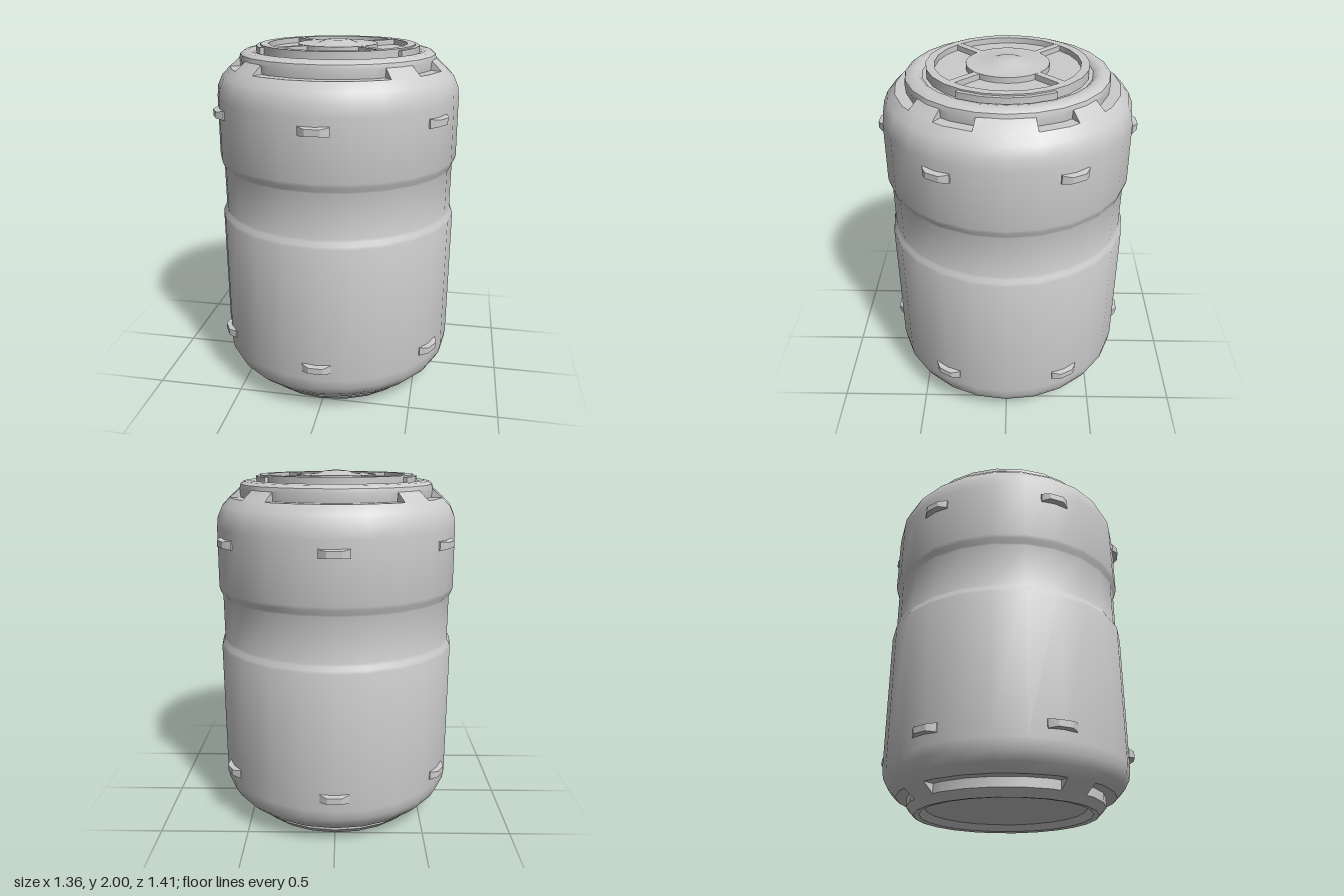
import * as THREE from 'three';
import { toCreasedNormals } from 'three/addons/utils/BufferGeometryUtils.js';

const SIDES = 24, STEP = 360 / SIDES;
const rad = THREE.MathUtils.degToRad;
const material = new THREE.MeshStandardMaterial({ color: 0xcccccc });

// Point on a 24-sided ring; the angle is in degrees, measured from +z towards +x
function ringPoint([r, y], deg) {
  const off = deg - (Math.floor(deg / STEP + 1e-6) + 0.5) * STEP;
  const k = r * Math.cos(rad(STEP / 2)) / Math.cos(rad(off));
  return [k * Math.sin(rad(deg)), y, k * Math.cos(rad(deg))];
}

function triangle(out, a, b, c) {
  out.push(...a, ...b, ...c);
}

// Sweeps a [radius, height] profile between two angles, keeping the ring's corners
function band(out, profile, from = 0, to = 360) {
  const angles = [from];
  for (let d = (Math.floor(from / STEP + 1e-6) + 1) * STEP; d < to - 1e-6; d += STEP) angles.push(d);
  angles.push(to);
  for (let i = 0; i < angles.length - 1; i++) {
    for (let j = 0; j < profile.length - 1; j++) {
      const a = ringPoint(profile[j], angles[i]), b = ringPoint(profile[j], angles[i + 1]);
      const c = ringPoint(profile[j + 1], angles[i + 1]), d = ringPoint(profile[j + 1], angles[i]);
      if (profile[j][0] > 0) triangle(out, a, b, c);
      if (profile[j + 1][0] > 0) triangle(out, a, c, d);
    }
  }
}

// Sloped band from a to b with slots cut into it, each with corner m
function slottedBand(out, a, m, b, slots) {
  let last = slots[0][0];
  slots.forEach(([from, to], i) => {
    if (from > last) band(out, [a, b], last, from);
    band(out, [a, m, b], from, to);
    triangle(out, ...[a, m, b].map(p => ringPoint(p, from)));
    triangle(out, ...[a, b, m].map(p => ringPoint(p, to)));
    last = to;
    if (i === slots.length - 1) band(out, [a, b], last, slots[0][0] + 360);
  });
}

function toMesh(name, positions) {
  const geometry = new THREE.BufferGeometry();
  geometry.setAttribute('position', new THREE.Float32BufferAttribute(positions, 3));
  const mesh = new THREE.Mesh(toCreasedNormals(geometry, 0.6), material);
  mesh.name = name;
  return mesh;
}

function makeBody() {
  const out = [];
  // Recessed underside and foot rim
  band(out, [[0, 0.04], [0.44, 0.04], [0.47, 0.005], [0.5, 0], [0.54, 0.04]]);
  // Four long slots near the base
  slottedBand(out, [0.54, 0.04], [0.54, 0.09], [0.6, 0.09],
    [0, 90, 180, 270].map(d => [d - 36, d + 36]));
  // Wall with a shallow waist
  band(out, [[0.6, 0.09], [0.645, 0.135], [0.672, 0.185], [0.68, 0.24], [0.68, 1.02], [0.675, 1.035],
    [0.665, 1.055], [0.66, 1.07], [0.66, 1.315], [0.663, 1.325], [0.675, 1.35], [0.68, 1.37],
    [0.677, 1.7], [0.67, 1.76], [0.645, 1.815], [0.6, 1.86]]);
  // Upper slots: long at front and back, bridged in the middle at the sides
  slottedBand(out, [0.6, 1.86], [0.54, 1.86], [0.545, 1.908],
    [[-36, 36], [54, 75], [105, 126], [144, 216], [234, 255], [285, 306]]);
  // Shoulder rim
  band(out, [[0.545, 1.908], [0.54, 1.93], [0.52, 1.945], [0.49, 1.95], [0.465, 1.945],
    [0.45, 1.93], [0.35, 1.93]]);
  return toMesh('body', out);
}

function makeLid() {
  const lid = new THREE.Group();
  lid.name = 'lid';
  const plate = [];
  band(plate, [[0.43, 1.92], [0.43, 1.98], [0.385, 1.98], [0.385, 1.95], [0.22, 1.95],
    [0.22, 1.98], [0.11, 1.982], [0.06, 2], [0, 2]]);
  lid.add(toMesh('lidPlate', plate));

  // Raised locking edges at the left and right
  for (const mid of [90, 270]) {
    const out = [], from = mid - 33, to = mid + 33;
    const section = [[0.42, 1.93], [0.452, 1.93], [0.452, 1.972], [0.42, 1.972]];
    band(out, section, from, to);
    const [a, b, c, d] = section.map(p => ringPoint(p, from));
    triangle(out, a, b, c);
    triangle(out, a, c, d);
    const [e, f, g, h] = section.map(p => ringPoint(p, to));
    triangle(out, e, g, f);
    triangle(out, e, h, g);
    const edge = toMesh('lockingEdge', out);
    edge.material = new THREE.MeshStandardMaterial({ color: 0xcccccc, side: THREE.DoubleSide });
    lid.add(edge);
  }

  // Four spokes between hub and rim
  for (let i = 0; i < 4; i++) {
    const pivot = new THREE.Group();
    pivot.name = 'lidSpoke';
    pivot.rotation.y = rad(45 + 90 * i);
    const spoke = new THREE.Mesh(new THREE.BoxGeometry(0.04, 0.034, 0.19), material);
    spoke.name = 'spoke';
    spoke.position.set(0, 1.962, 0.302);
    pivot.add(spoke);
    lid.add(pivot);
  }
  return lid;
}

// Small lug: trapezoid plan, thinner towards its outer face
function makeLugGeometry() {
  const plan = new THREE.Shape([[-0.08, -0.64], [-0.08, -0.675], [-0.062, -0.69], [-0.038, -0.706],
    [0.038, -0.706], [0.062, -0.69], [0.08, -0.675], [0.08, -0.64]].map(p => new THREE.Vector2(...p)));
  const geometry = new THREE.ExtrudeGeometry(plan, { depth: 0.05, bevelEnabled: false });
  geometry.translate(0, 0, -0.025).rotateX(-Math.PI / 2);
  const p = geometry.attributes.position;
  for (let i = 0; i < p.count; i++) {
    const t = THREE.MathUtils.clamp((p.getZ(i) - 0.67) / 0.036, 0, 1);
    p.setY(i, p.getY(i) * (1 - 0.3 * t));
  }
  return toCreasedNormals(geometry, 0.4);
}

export function createModel() {
  const model = new THREE.Group();
  model.name = 'canister';
  model.add(makeBody(), makeLid());

  // Two rows of six lugs
  const lugGeometry = makeLugGeometry();
  for (const y of [0.315, 1.632]) {
    for (let i = 0; i < 6; i++) {
      const lug = new THREE.Mesh(lugGeometry, material);
      lug.name = 'lug';
      lug.position.y = y;
      lug.rotation.y = i * Math.PI / 3;
      model.add(lug);
    }
  }
  return model;
}
